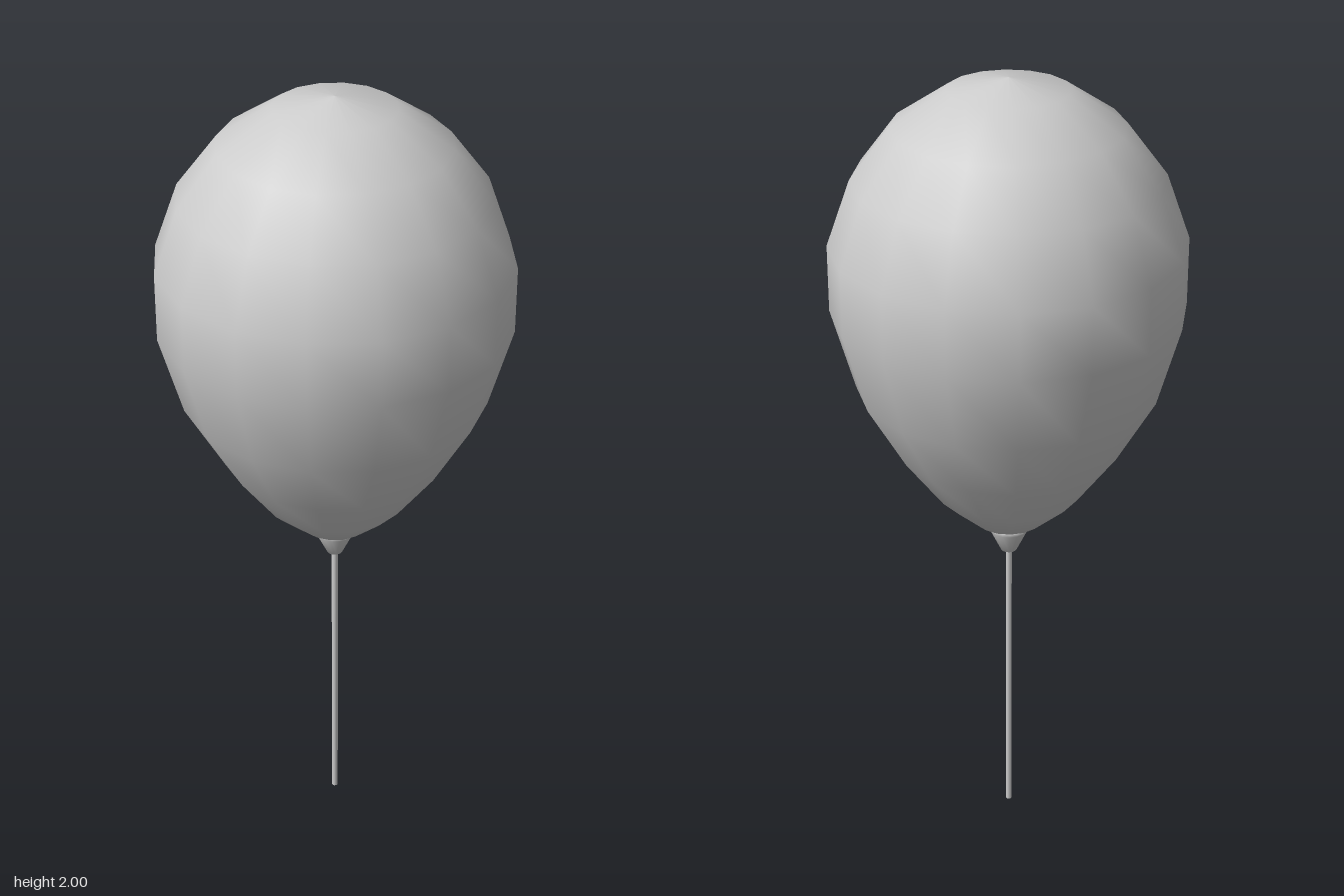
import * as THREE from 'three';

// Smooth turned part from [radius, height] pairs, listed bottom to top
function turned(name, profile, sides, material) {
  const points = profile.map(([r, y]) => new THREE.Vector2(r, y));
  const mesh = new THREE.Mesh(new THREE.LatheGeometry(points, sides), material);
  mesh.name = name;
  return mesh;
}

export function createModel() {
  const group = new THREE.Group();
  group.name = 'balloon';
  const grey = new THREE.MeshStandardMaterial({ color: 0xcccccc });
  grey.name = 'light grey';

  // Inflated teardrop body
  group.add(turned('balloonBody', [
    [0, 0.835], [0.085, 0.858], [0.178, 0.94], [0.275, 1.07], [0.37, 1.235],
    [0.427, 1.435], [0.427, 1.6], [0.37, 1.76], [0.275, 1.885], [0.145, 1.972], [0, 2],
  ], 16, grey));

  // Knot, flared upward against the body
  group.add(turned('knot', [[0, 0.77], [0.02, 0.77], [0.048, 0.828], [0.044, 0.838], [0, 0.842]], 16, grey));

  // Straight string down to the ground
  group.add(turned('string', [[0, 0], [0.008, 0], [0.008, 0.78], [0, 0.78]], 8, grey));

  return group;
}
